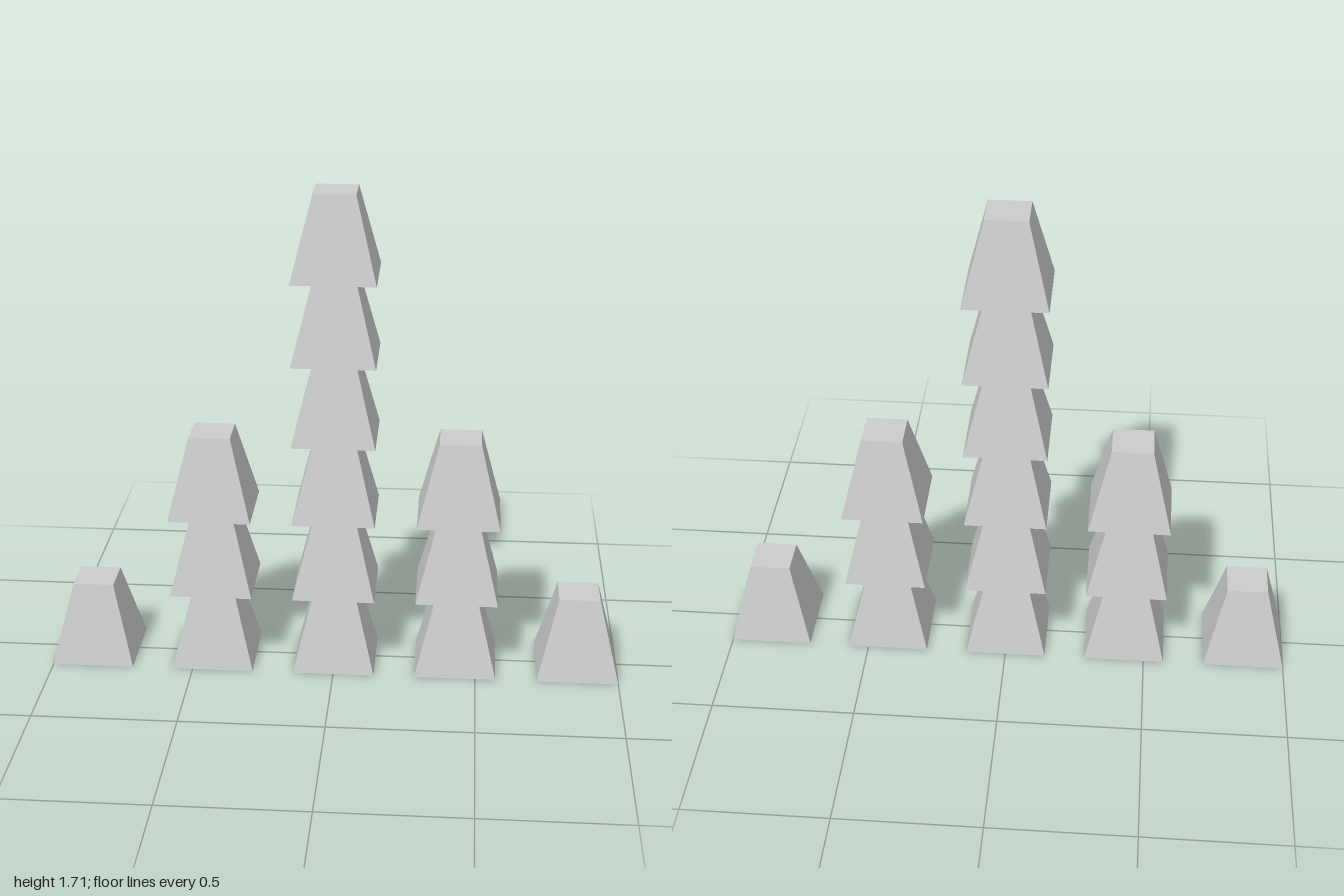
import * as THREE from 'three';

const SIZE = 2 / 7;          // base width and height of one block
const SPACING = SIZE * 1.5;  // distance between stack centres

// Square frustum standing on y = 0, top half as wide as the base
function frustumGeometry() {
  const radius = SIZE / Math.SQRT2;
  const geometry = new THREE.CylinderGeometry(radius / 2, radius, SIZE, 4);
  geometry.rotateY(Math.PI / 4);
  geometry.translate(0, SIZE / 2, 0);
  return geometry;
}

export function createModel() {
  const model = new THREE.Group();
  model.name = 'blockStacks';
  const geometry = frustumGeometry();
  const material = new THREE.MeshStandardMaterial({ color: 0xcccccc, flatShading: true });

  // Stacks in a row, ordered from -x to +x
  const stacks = [
    ['rightOuterStack', 1],
    ['rightInnerStack', 3],
    ['centreStack', 6],
    ['leftInnerStack', 3],
    ['leftOuterStack', 1],
  ];
  stacks.forEach(([name, count], i) => {
    const stack = new THREE.Group();
    stack.name = name;
    stack.position.x = (i - 2) * SPACING;
    for (let level = 0; level < count; level++) {
      const block = new THREE.Mesh(geometry, material);
      block.name = `taperedBlock${level + 1}`;
      block.position.y = level * SIZE;
      stack.add(block);
    }
    model.add(stack);
  });
  return model;
}
